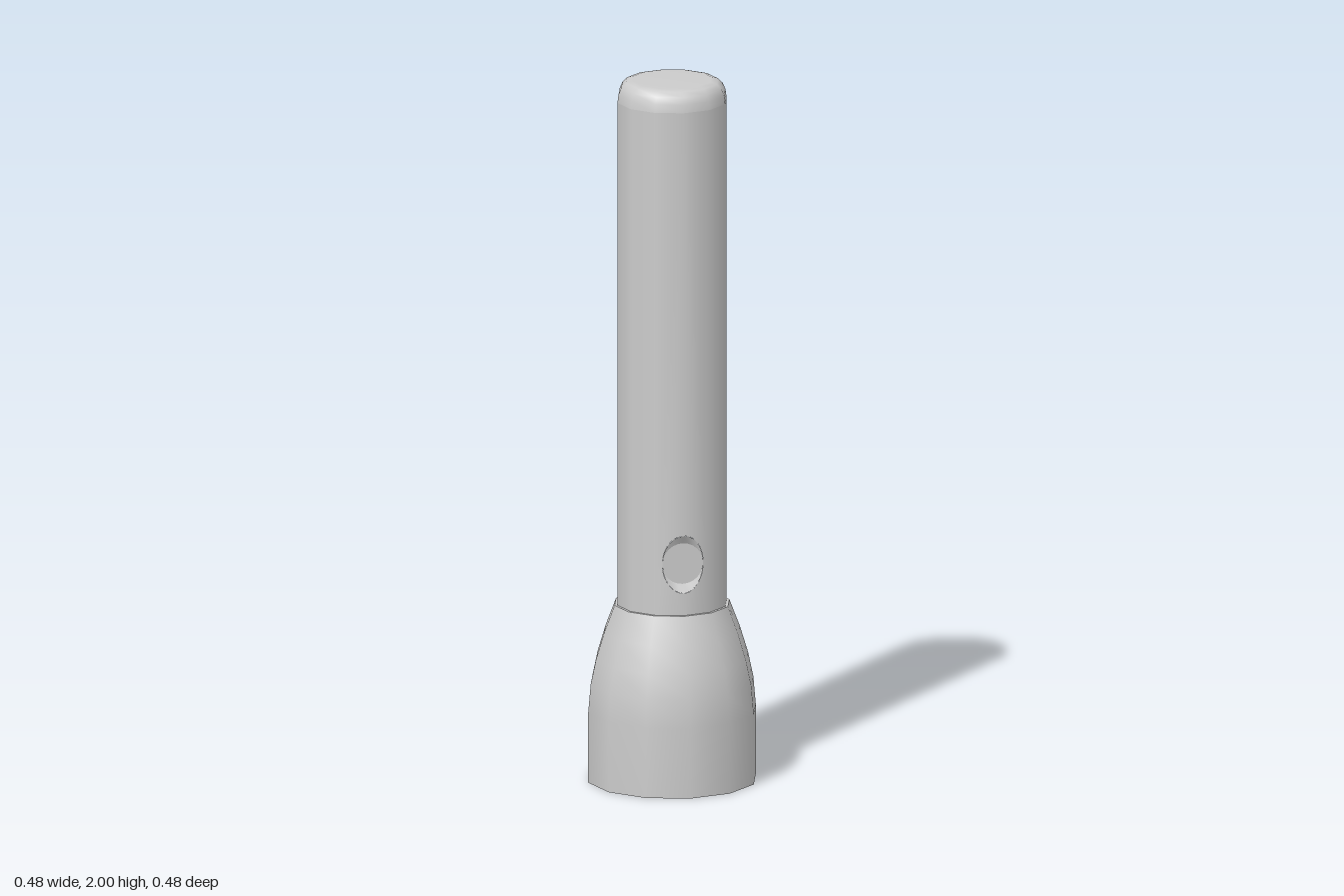
import * as THREE from 'three';

const SIDES = 12;
const BODY_R = 0.155;
const SWITCH_Y = 0.648;
const SWITCH_R = 0.058;
const SWITCH_Z = 0.139;
const HOLE_RY = 0.082;
const STEP = (Math.PI * 2) / SIDES;
const FACET_X = BODY_R * Math.sin(STEP);
const FACET_Z = BODY_R * Math.cos(STEP);

const material = new THREE.MeshStandardMaterial({ color: 0xcccccc });

// z of the two front facets of the barrel, which meet in an edge at x = 0
const facetZ = (x) => BODY_R - (Math.abs(x) * (BODY_R - FACET_Z)) / FACET_X;

function addMesh(group, name, geometry) {
  const mesh = new THREE.Mesh(geometry, material);
  mesh.name = name;
  group.add(mesh);
  return mesh;
}

function lathe(points, start = 0, sides = SIDES) {
  return new THREE.LatheGeometry(points.map(([r, y]) => new THREE.Vector2(r, y)), sides, start, sides * STEP);
}

// One front facet of the barrel with half of the switch opening cut from its edge
function switchFacet(bottom, top) {
  const shape = new THREE.Shape();
  shape.moveTo(0, bottom);
  shape.lineTo(FACET_X, bottom);
  shape.lineTo(FACET_X, top);
  shape.lineTo(0, top);
  shape.lineTo(0, SWITCH_Y + HOLE_RY);
  shape.absellipse(0, SWITCH_Y, SWITCH_R, HOLE_RY, Math.PI / 2, -Math.PI / 2, true);
  const geometry = new THREE.ShapeGeometry(shape, 12);
  const p = geometry.attributes.position;
  const n = geometry.attributes.normal;
  for (let i = 0; i < p.count; i++) {
    const x = p.getX(i);
    const angle = (x / FACET_X) * STEP;
    p.setZ(i, facetZ(x));
    n.setXYZ(i, Math.sin(angle), 0, Math.cos(angle));
  }
  return geometry;
}

// Sloping wall from the opening in the barrel down to the round button
function recessWall(segments = 24) {
  const positions = [];
  const index = [];
  for (let i = 0; i <= segments; i++) {
    const a = (i / segments) * Math.PI * 2;
    const x = SWITCH_R * Math.cos(a);
    positions.push(x, SWITCH_Y + HOLE_RY * Math.sin(a), facetZ(x));
    positions.push(x, SWITCH_Y + SWITCH_R * Math.sin(a), SWITCH_Z);
    if (i < segments) {
      const k = i * 2;
      index.push(k, k + 2, k + 1, k + 1, k + 2, k + 3);
    }
  }
  const geometry = new THREE.BufferGeometry();
  geometry.setAttribute('position', new THREE.Float32BufferAttribute(positions, 3));
  geometry.setIndex(index);
  geometry.computeVertexNormals();
  return geometry;
}

export function createModel() {
  const group = new THREE.Group();
  group.name = 'flashlight';

  // Flared head with its shoulder, front rim, bevel and recessed lens
  addMesh(group, 'head', lathe([
    [0.238, 0], [0.238, 0.2], [0.231, 0.28], [0.216, 0.35], [0.193, 0.425], [0.163, 0.503],
  ]));
  addMesh(group, 'headShoulder', lathe([[0.163, 0.503], [0.15, 0.503]]));
  addMesh(group, 'headRim', lathe([[0.23, 0], [0.238, 0]]));
  addMesh(group, 'headBevel', lathe([[0.197, 0.025], [0.23, 0]]));
  addMesh(group, 'lens', lathe([[0, 0.025], [0.197, 0.025]]));

  // Barrel: ten plain facets, and two at the front holding the switch opening
  const bottom = 0.49;
  const top = 1.94;
  addMesh(group, 'barrel', lathe([[BODY_R, bottom], [BODY_R, top]], STEP, SIDES - 2));
  for (const side of [1, -1]) {
    const facet = addMesh(group, side > 0 ? 'barrelFrontLeft' : 'barrelFrontRight', switchFacet(bottom, top));
    facet.scale.x = side;
  }

  // Rounded end cap
  addMesh(group, 'endCap', lathe([
    [BODY_R, top], [0.152, 1.963], [0.144, 1.982], [0.131, 1.995], [0.112, 2], [0, 2],
  ]));

  // Switch
  addMesh(group, 'switchRecess', recessWall());
  const button = addMesh(group, 'switchButton', new THREE.CircleGeometry(SWITCH_R, 24));
  button.position.set(0, SWITCH_Y, SWITCH_Z);

  return group;
}
